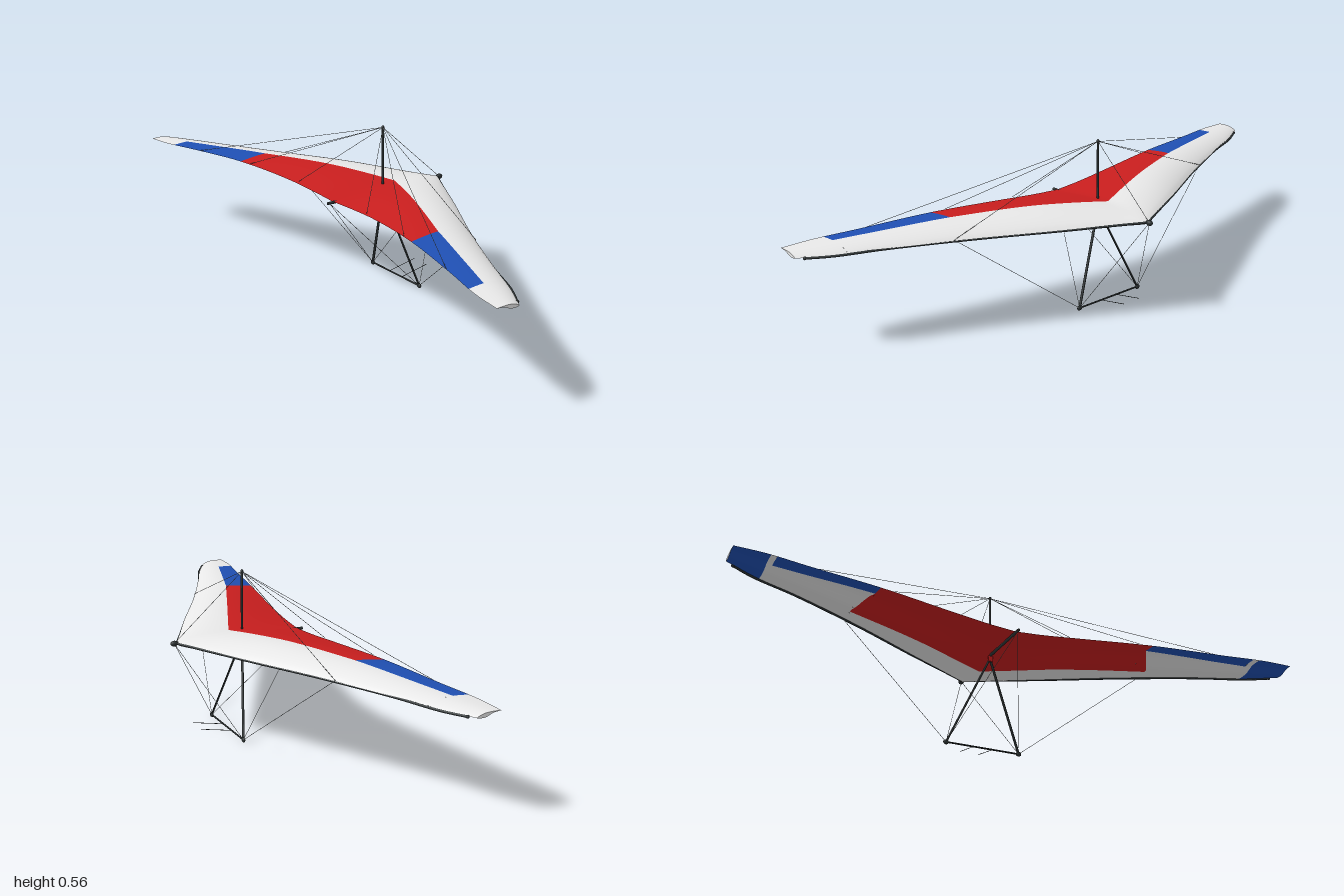
import * as THREE from 'three';

const material = (name, color, side = THREE.FrontSide) => {
  const m = new THREE.MeshStandardMaterial({ color, side });
  m.name = name;
  return m;
};

// Wing stations: half-span position, then
// leading z, trailing z, leading y, trailing y, camber, lower bulge
const SPANS = [0, 0.1, 0.25, 0.5, 0.75, 0.9, 1];
const STATIONS = [
  -0.292, 0.157, 0.337, 0.334, 0.023, 0.024,
  -0.238, 0.16, 0.336, 0.34, 0.03, 0.018,
  -0.16, 0.174, 0.335, 0.35, 0.034, 0.009,
  -0.023, 0.214, 0.333, 0.358, 0.025, 0.005,
  0.1, 0.264, 0.331, 0.35, 0.016, 0.004,
  0.168, 0.298, 0.329, 0.344, 0.011, 0.004,
  0.225, 0.308, 0.329, 0.34, 0.007, 0.003,
];
const wing = new THREE.CubicInterpolant(SPANS, STATIONS, 6, new Float32Array(6));
const station = (x) => Array.from(wing.evaluate(Math.min(Math.abs(x), 1)));

// Point on the upper or lower sail at span x and depth z
function sailPoint(x, z, upper) {
  const [z0, z1, y0, y1, camber, bulge] = station(x);
  const u = THREE.MathUtils.clamp((z - z0) / (z1 - z0), 0, 1);
  const line = y0 + (y1 - y0) * u;
  const arch = camber * Math.sin(Math.PI * Math.pow(u, 0.75));
  if (upper) return [x, line + arch, z];
  const join = THREE.MathUtils.smoothstep(u, 0.35, 0.8);
  const belly = bulge * Math.sin(Math.PI * Math.pow(Math.min(u / 0.65, 1), 0.65));
  const gap = 0.004 * Math.sin(Math.PI * u);
  return [x, line + arch * join - belly - gap, z];
}

const leading = (x) => station(x)[0];
const trailing = (x) => station(x)[1];
// Borders of the coloured panels
const upperBorder = (x) => {
  const a = Math.abs(x);
  return a < 0.5 ? -0.1 + 0.42 * a : 0.11 + 0.347 * (a - 0.5);
};
const lowerBorder = (x) => -0.14 + 0.37 * Math.abs(x);
const lowerRedEnd = (x) => 0.16 - 1.7 * (Math.abs(x) - 0.5);
const lowerStrip = (x) => trailing(x) - 0.055;

function surface(pos, index) {
  const g = new THREE.BufferGeometry();
  g.setAttribute('position', new THREE.Float32BufferAttribute(pos, 3));
  g.setIndex(index);
  g.computeVertexNormals();
  return g;
}

// Sail panel between two spans and two chordwise borders
function panel(x0, x1, front, back, upper) {
  const nx = Math.max(4, Math.round((x1 - x0) * 40));
  const nz = 14;
  const pos = [];
  const index = [];
  for (let i = 0; i <= nx; i++) {
    const x = x0 + ((x1 - x0) * i) / nx;
    const a = front(x);
    const b = back(x);
    for (let j = 0; j <= nz; j++) pos.push(...sailPoint(x, a + ((b - a) * j) / nz, upper));
  }
  for (let i = 0; i < nx; i++) {
    for (let j = 0; j < nz; j++) {
      const a = i * (nz + 1) + j;
      const b = a + nz + 1;
      if (upper) index.push(a, a + 1, b, b, a + 1, b + 1);
      else index.push(a, b, a + 1, b, b + 1, a + 1);
    }
  }
  return surface(pos, index);
}

// Wall closing the wing tip between the upper and lower sail
function tipWall(x) {
  const n = 14;
  const pos = [];
  const index = [];
  for (let j = 0; j <= n; j++) {
    const z = THREE.MathUtils.lerp(leading(x), trailing(x), j / n);
    pos.push(...sailPoint(x, z, true), ...sailPoint(x, z, false));
    const a = 2 * j;
    if (j < n) {
      if (x > 0) index.push(a, a + 2, a + 1, a + 1, a + 2, a + 3);
      else index.push(a, a + 1, a + 2, a + 1, a + 3, a + 2);
    }
  }
  return surface(pos, index);
}

export function createModel() {
  const white = material('white sail', 0xe9e9e9, THREE.DoubleSide);
  const red = material('red sail', 0xc81e1e, THREE.DoubleSide);
  const blue = material('blue sail', 0x1f4fb2, THREE.DoubleSide);
  const frame = material('dark frame', 0x2b3132);
  const wire = material('steel wire', 0x7c8284);

  const model = new THREE.Group();
  model.name = 'hangGlider';
  const add = (name, geometry, mat, parent = model) => {
    const mesh = new THREE.Mesh(geometry, mat);
    mesh.name = name;
    parent.add(mesh);
    return mesh;
  };
  const rod = (name, from, to, radius, mat, sides = 10) => {
    const a = new THREE.Vector3(...from);
    const b = new THREE.Vector3(...to);
    const mesh = add(name, new THREE.CylinderGeometry(radius, radius, a.distanceTo(b), sides), mat);
    mesh.position.copy(a).lerp(b, 0.5);
    mesh.quaternion.setFromUnitVectors(new THREE.Vector3(0, 1, 0), b.sub(a).normalize());
    return mesh;
  };
  const ball = (name, at, r, stretch = [1, 1, 1]) => {
    const mesh = add(name, new THREE.SphereGeometry(r, 16, 10), frame);
    mesh.position.set(...at);
    mesh.scale.set(...stretch);
  };

  // Sail panels of each half: name, material, inner span, outer span, front, back
  const upperSides = [
    ['outerFrontPanel', white, 0.5, 0.86, leading, upperBorder],
    ['outerPanel', blue, 0.5, 0.86, upperBorder, trailing],
    ['tipPanel', white, 0.86, 1, leading, trailing],
  ];
  const lowerSides = [
    ['redEndFront', white, 0.5, 0.55, leading, lowerBorder],
    ['redEnd', red, 0.5, 0.55, lowerBorder, lowerRedEnd],
    ['redEndBack', white, 0.5, 0.55, lowerRedEnd, lowerStrip],
    ['outerFrontPanel', white, 0.55, 0.86, leading, lowerStrip],
    ['outerStrip', blue, 0.5, 0.86, lowerStrip, trailing],
    ['tipBand', white, 0.86, 0.88, leading, trailing],
    ['tipPanel', blue, 0.88, 1, leading, trailing],
  ];
  for (const upper of [true, false]) {
    const sail = new THREE.Group();
    sail.name = upper ? 'upperSail' : 'lowerSail';
    model.add(sail);
    const border = upper ? upperBorder : lowerBorder;
    add('frontPanel', panel(-0.5, 0.5, leading, border, upper), white, sail);
    add('centrePanel', panel(-0.5, 0.5, border, trailing, upper), red, sail);
    for (const [name, mat, a, b, front, back] of upper ? upperSides : lowerSides) {
      add(name, panel(a, b, front, back, upper), mat, sail);
      add(name, panel(-b, -a, front, back, upper), mat, sail);
    }
  }

  // Keel, nose and king post
  const top = [0, 0.556, -0.05];
  const nose = [0, 0.336, -0.296];
  rod('keel', [0, 0.331, 0.178], nose, 0.005, frame);
  ball('noseCap', nose, 0.0095, [1, 1, 1.4]);
  rod('kingPost', [0, 0.32, -0.05], top, 0.0042, frame);
  ball('kingPostCap', top, 0.0052, [1, 1.4, 1]);
  ball('frameApex', [0, 0.318, -0.051], 0.006, [1, 1.6, 1]);

  // Red hang strap behind the frame apex
  add('hangStrap', new THREE.BoxGeometry(0.016, 0.02, 0.004), red).position.set(0, 0.32, -0.045);

  // Mirrored frame and rigging
  for (const s of [-1, 1]) {
    add('tipWall', tipWall(s), white);

    // Leading edge spar, half tucked into the sail and emerging at the tip
    const spar = SPANS.slice(0, -1).concat(0.975).map((x) => {
      const [z, , y] = station(x);
      const inset = x > 0.85 ? -0.001 : 0.004;
      return new THREE.Vector3(s * x, y - 0.002, x > 0.95 ? 0.211 : z + inset);
    });
    add('leadingEdge', new THREE.TubeGeometry(new THREE.CatmullRomCurve3(spar), 48, 0.0042, 8), frame);
    ball('leadingEdgeCap', [s * 0.975, 0.327, 0.211], 0.0055);

    // Streamlined down tube, narrow across the span
    const corner = [s * 0.135, 0.012, -0.107];
    rod('downTube', [0, 0.322, -0.05], corner, 0.0045, frame).scale.x = 0.75;
    ball('cornerFitting', corner, 0.0085, [1.2, 1, 0.65]);

    rod('footRod', [s * 0.035, 0.012, -0.11], [s * 0.035, 0.033, -0.218], 0.0011, frame, 6);

    const joint = [s * 0.56, 0.336, 0.008];
    const ends = [joint, [s * 0.2, 0.352, 0.162], [s * 0.45, 0.36, 0.203], [s * 0.72, 0.352, 0.256]];
    for (const end of ends) rod('upperWire', top, end, 0.0008, wire, 5);
    for (const end of [joint, nose, [0, 0.328, 0.168]]) rod('lowerWire', corner, end, 0.0008, wire, 5);
  }
  rod('upperNoseWire', top, nose, 0.0008, wire, 5);
  rod('baseBar', [-0.135, 0.012, -0.107], [0.135, 0.012, -0.107], 0.003, frame);

  return model;
}
